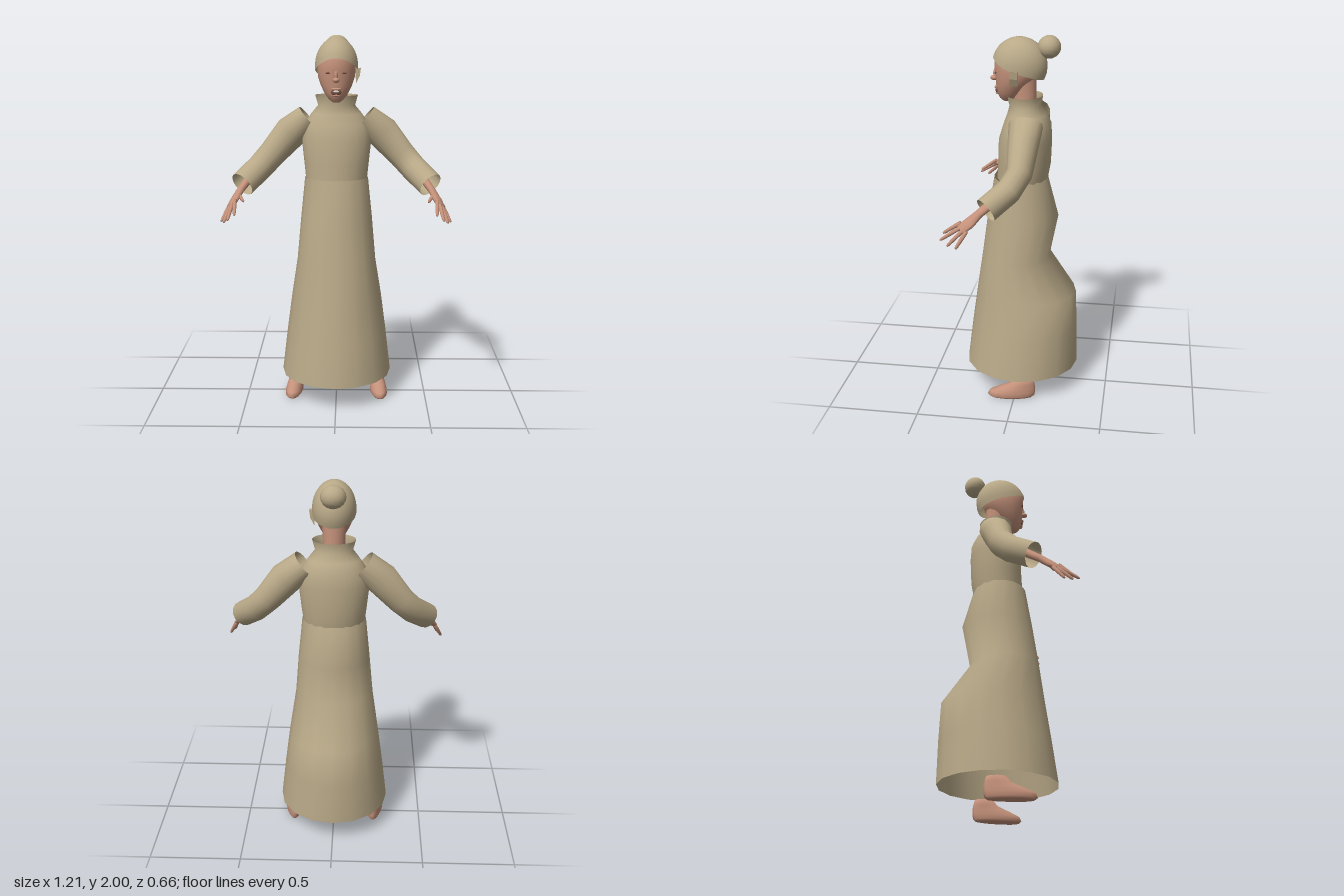
import * as THREE from 'three';

const V = (x, y, z) => new THREE.Vector3(x, y, z);

// Joins closed rings of points into a smooth skin; caps are optional.
function skin(rings, capped = false) {
  const n = rings[0].length, pts = rings.flat(), index = [];
  for (let j = 0; j < rings.length - 1; j++) {
    for (let i = 0; i < n; i++) {
      const a = j * n + i, b = j * n + (i + 1) % n;
      index.push(a, b, b + n, a, b + n, a + n);
    }
  }
  if (capped) {
    [rings[0], rings[rings.length - 1]].forEach((ring, end) => {
      const mid = V(0, 0, 0);
      ring.forEach((p) => mid.addScaledVector(p, 1 / n));
      const base = end ? (rings.length - 1) * n : 0, c = pts.length;
      pts.push(mid);
      for (let i = 0; i < n; i++) {
        const a = base + i, b = base + (i + 1) % n;
        if (end) index.push(a, b, c); else index.push(b, a, c);
      }
    });
  }
  const g = new THREE.BufferGeometry().setFromPoints(pts);
  g.setIndex(index);
  g.computeVertexNormals();
  return g;
}

// Upright body: each section is [y, half width, front z, back z].
function upright(sections, n, capped) {
  return skin(sections.map(([y, hx, zf, zb]) => Array.from({ length: n }, (_, i) => {
    const a = i / n * Math.PI * 2;
    return V(Math.sin(a) * hx, y, (zf + zb) / 2 + Math.cos(a) * (zf - zb) / 2);
  })), capped);
}

// Limb along a path: each stop is [x, y, z, radius along ref, radius across].
function limb(stops, ref, n, capped) {
  const c = stops.map((s) => V(s[0], s[1], s[2]));
  return skin(stops.map((s, j) => {
    const t = c[Math.min(j + 1, c.length - 1)].clone().sub(c[Math.max(j - 1, 0)]).normalize();
    const u = ref.clone().addScaledVector(t, -t.dot(ref)).normalize();
    const v = t.clone().cross(u);
    return Array.from({ length: n }, (_, i) => {
      const a = i / n * Math.PI * 2;
      return c[j].clone().addScaledVector(u, Math.cos(a) * s[3]).addScaledVector(v, Math.sin(a) * s[4]);
    });
  }), capped);
}

// Reflected copy across x with its faces turned the right way round.
function mirrored(geo) {
  const g = geo.clone().scale(-1, 1, 1), ix = g.index.array;
  for (let i = 0; i < ix.length; i += 3) [ix[i], ix[i + 1]] = [ix[i + 1], ix[i]];
  g.computeVertexNormals();
  return g;
}

function ellipsoid(x, y, z, rx, ry, rz, n = 14) {
  return new THREE.SphereGeometry(1, n, 10).scale(rx, ry, rz).translate(x, y, z);
}

export function createModel() {
  const group = new THREE.Group();
  const material = (name, color) => {
    const m = new THREE.MeshStandardMaterial({ color });
    m.name = name;
    return m;
  };
  const cloth = material('tan', 0xb9a988);
  cloth.side = THREE.DoubleSide;
  const flesh = material('skin', 0xc4917a);
  const dark = material('dark skin', 0x7a5143);
  const white = material('white', 0xe8e4dc);
  const add = (name, geo, mat) => {
    const m = new THREE.Mesh(geo, mat);
    m.name = name;
    group.add(m);
  };
  const pair = (name, geo, mat) => {
    add(name + 'Left', geo, mat);
    add(name + 'Right', mirrored(geo), mat);
  };

  // Dress
  add('skirt', upright([
    [0.13, 0.305, 0.305, -0.33], [0.36, 0.278, 0.275, -0.325], [0.57, 0.25, 0.245, -0.315],
    [0.79, 0.215, 0.212, -0.165], [1.02, 0.195, 0.18, -0.21], [1.24, 0.172, 0.142, -0.15],
  ], 16), cloth);
  add('bodice', upright([
    [1.235, 0.167, 0.125, -0.15], [1.32, 0.176, 0.12, -0.165], [1.45, 0.19, 0.115, -0.17],
    [1.53, 0.175, 0.09, -0.165], [1.585, 0.137, 0.07, -0.14], [1.63, 0.1, 0.058, -0.11],
    [1.685, 0.115, 0.072, -0.12],
  ], 20), cloth);
  pair('sleeve', limb([
    [0.155, 1.56, -0.05, 0.075, 0.09], [0.25, 1.48, -0.05, 0.09, 0.08],
    [0.355, 1.36, -0.045, 0.075, 0.066], [0.42, 1.29, 0, 0.072, 0.066],
    [0.505, 1.215, 0.1, 0.07, 0.066],
  ], V(0.65, 0.76, 0), 14), cloth);

  // Hands
  const across = V(0.62, -0.35, -0.6);
  pair('palm', limb([
    [0.46, 1.255, 0.06, 0.025, 0.023], [0.508, 1.195, 0.135, 0.023, 0.019],
    [0.533, 1.155, 0.178, 0.034, 0.018], [0.551, 1.124, 0.22, 0.034, 0.014],
  ], across, 10, true), flesh);
  const fingers = {
    indexFinger: [[0.53, 1.145, 0.235], [0.525, 1.09, 0.315]],
    middleFinger: [[0.545, 1.13, 0.225], [0.56, 1.065, 0.325]],
    ringFinger: [[0.558, 1.118, 0.212], [0.585, 1.045, 0.285]],
    littleFinger: [[0.568, 1.11, 0.195], [0.603, 1.04, 0.238]],
    thumb: [[0.52, 1.178, 0.165], [0.487, 1.142, 0.215]],
  };
  for (const [name, [a, b]] of Object.entries(fingers)) {
    const stops = [[-0.15, 0.011], [0.5, 0.01], [0.9, 0.008], [1, 0.004]].map(([t, r]) =>
      [...a.map((p, k) => p + (b[k] - p) * t), r, r]);
    pair(name, limb(stops, across, 7, true), flesh);
  }

  // Feet, toes turned slightly outward
  const foot = upright([
    [0, 0.038, 0.135, -0.1], [0.012, 0.046, 0.15, -0.112], [0.035, 0.045, 0.14, -0.116],
    [0.06, 0.04, 0.085, -0.116], [0.085, 0.034, 0.025, -0.112], [0.115, 0.033, -0.002, -0.103],
  ], 16, true);
  const fp = foot.attributes.position;
  for (let i = 0; i < fp.count; i++) {
    fp.setX(i, fp.getX(i) * (1 + fp.getZ(i)) + 0.236 + fp.getZ(i) * 0.08);
  }
  foot.computeVertexNormals();
  pair('foot', foot, flesh);

  // Neck and head
  add('neck', upright([[1.57, 0.065, 0.04, -0.09], [1.68, 0.058, 0.04, -0.085],
    [1.79, 0.065, 0.05, -0.085]], 16), flesh);
  add('head', upright([
    [1.652, 0.018, 0.092, 0.045], [1.668, 0.04, 0.11, 0.02], [1.7, 0.063, 0.124, -0.02],
    [1.74, 0.083, 0.129, -0.05], [1.78, 0.097, 0.132, -0.085], [1.82, 0.102, 0.137, -0.1],
    [1.87, 0.1, 0.138, -0.1], [1.905, 0.085, 0.122, -0.09],
  ], 20, true), flesh);
  add('nose', ellipsoid(0, 1.772, 0.138, 0.018, 0.014, 0.023), flesh);
  add('noseBridge', ellipsoid(0, 1.795, 0.131, 0.01, 0.028, 0.014), flesh);
  add('mouth', ellipsoid(0, 1.709, 0.122, 0.028, 0.018, 0.01), dark);
  add('upperLip', ellipsoid(0, 1.725, 0.126, 0.028, 0.007, 0.012), flesh);
  add('lowerLip', ellipsoid(0, 1.692, 0.12, 0.022, 0.007, 0.012), flesh);
  add('teeth', ellipsoid(0, 1.713, 0.129, 0.016, 0.006, 0.006), white);
  pair('eye', ellipsoid(0.04, 1.808, 0.124, 0.017, 0.005, 0.006), dark);

  // Hair cap: a dome whose lower edge drops from brow to nape
  const rows = 9, cols = 24, hair = [];
  for (let j = 0; j <= rows; j++) {
    hair.push(Array.from({ length: cols }, (_, i) => {
      const a = i / cols * Math.PI * 2, c = Math.cos(a);
      const edge = c > 0 ? 1.815 + 0.07 * c ** 1.5 : 1.815 - 0.045 * -c;
      const p = Math.acos((edge - 1.84) / 0.15) * (1 - j / rows * 0.999);
      return V(Math.sin(a) * Math.sin(p) * 0.115, 1.84 + Math.cos(p) * 0.15, 0.004 + c * Math.sin(p) * 0.146);
    }));
  }
  add('hair', skin(hair, false), cloth);
  add('hairBun', ellipsoid(0, 1.94, -0.15, 0.066, 0.06, 0.061, 16), cloth);

  // Small flap standing out beside the left ear
  const flap = new THREE.Shape([[0, 0.075], [0.03, 0.08], [0.024, 0.04], [0.004, 0]].map(([x, y]) => new THREE.Vector2(x, y)));
  add('earFlap', new THREE.ExtrudeGeometry(flap, { depth: 0.04, bevelEnabled: false })
    .translate(0.1, 1.75, 0), cloth);

  return group;
}
